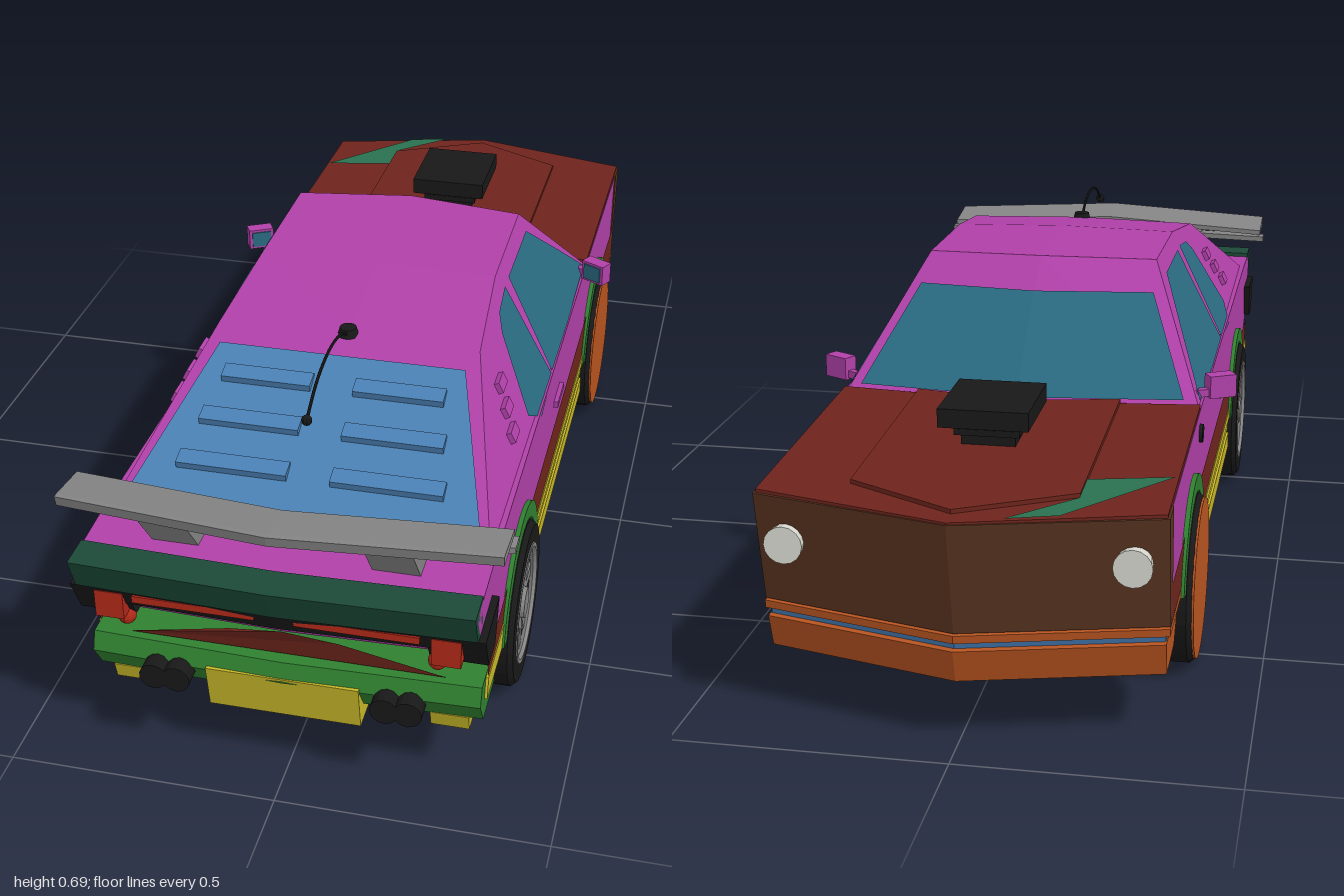
import * as THREE from 'three';
import { ConvexGeometry } from 'three/addons/geometries/ConvexGeometry.js';

const mat = (color) => new THREE.MeshStandardMaterial({ color, flatShading: true, side: THREE.DoubleSide });
const M = {
  paint: mat(0xb040a8), red: mat(0x6e241c), glass: mat(0x2a6a80), rearGlass: mat(0x4a80b4),
  green: mat(0x2f8030), darkGreen: mat(0x1c4a38), floor: mat(0x1c4a1c), yellow: mat(0xc8b828),
  orange: mat(0xb85420), brown: mat(0x5a3420), black: mat(0x181818), grey: mat(0x848484),
  blue: mat(0x3a6a9c), lamp: mat(0xd8d8d0), tail: mat(0xb02818), patch: mat(0x2a7050),
};
const HALF = 0.355, WHEEL_Y = 0.162, REAR_Z = 0.54, FRONT_Z = -0.505;

export function createModel() {
  const car = new THREE.Group();
  car.name = 'car';
  const add = (name, geo, m, x = 0, y = 0, z = 0, parent = car) => {
    const mesh = new THREE.Mesh(geo, m);
    mesh.name = name;
    mesh.position.set(x, y, z);
    parent.add(mesh);
    return mesh;
  };
  const box = (name, m, w, h, d, x, y, z, parent) => add(name, new THREE.BoxGeometry(w, h, d), m, x, y, z, parent);

  // Extrudes a shape drawn in (-z, y) from x0 to x1, then bends it by a rule
  const acrossShape = (name, m, shape, x0, x1, rule, steps = 2) => {
    const geo = new THREE.ExtrudeGeometry(shape, { depth: x1 - x0, steps, bevelEnabled: false, curveSegments: 20 });
    geo.rotateY(Math.PI / 2).translate(x0, 0, 0);
    if (rule) {
      const p = geo.attributes.position, v = new THREE.Vector3();
      for (let i = 0; i < p.count; i++) {
        rule(v.fromBufferAttribute(p, i));
        p.setXYZ(i, v.x, v.y, v.z);
      }
      geo.computeVertexNormals();
    }
    return add(name, geo, m);
  };
  const across = (name, m, zy, x0, x1, rule, steps) =>
    acrossShape(name, m, new THREE.Shape(zy.map(([z, y]) => new THREE.Vector2(-z, y))), x0, x1, rule, steps);
  const both = (fn) => [1, -1].forEach(fn);
  const mirrored = (name, m, zy, a, b) =>
    both((s) => across(name, m, zy, Math.min(s * a, s * b), Math.max(s * a, s * b)));

  // Thin convex panel given by its corners
  const panel = (name, m, pts) => {
    const geo = new THREE.BufferGeometry();
    const tri = [];
    for (let i = 1; i < pts.length - 1; i++) tri.push(...pts[0], ...pts[i], ...pts[i + 1]);
    geo.setAttribute('position', new THREE.Float32BufferAttribute(tri, 3));
    geo.computeVertexNormals();
    return add(name, geo, m);
  };

  // The nose comes to a point in plan, the tail bows slightly
  const bow = (v) => {
    const k = 1 - Math.abs(v.x) / HALF;
    if (v.z < -0.8) v.z -= 0.09 * k;
    if (v.z > 0.84) v.z += 0.012 * k;
  };

  // Lower body with wheel arches
  const body = new THREE.Shape();
  const r = 0.17, a = Math.asin((0.22 - WHEEL_Y) / r);
  body.moveTo(-0.86, 0.22);
  body.absarc(-REAR_Z, WHEEL_Y, r, Math.PI - a, a, true);
  body.absarc(-FRONT_Z, WHEEL_Y, r, Math.PI - a, a, true);
  [[0.85, 0.22], [0.89, 0.428], [0.345, 0.445], [-0.8, 0.457], [-0.97, 0.45], [-0.945, 0.4], [-0.88, 0.3]]
    .forEach(([x, y]) => body.lineTo(x, y));
  acrossShape('lowerBody', M.paint, body, -HALF, HALF, bow);
  box('floor', M.floor, 0.53, 0.2, 1.68, 0, 0.245, -0.02);

  // Cabin
  const sideX = (y) => 0.35 - (y - 0.445) * 0.5;
  const cabin = [[0, 0.44, -0.385], [0, 0.68, -0.117], [0, 0.677, 0.19], [0, 0.646, 0.43], [0, 0.458, 0.8]];
  both((s) => [[0.44, -0.345], [0.675, -0.09], [0.672, 0.19], [0.64, 0.43], [0.455, 0.8]]
    .forEach(([y, z]) => cabin.push([s * sideX(y), y, z])));
  add('cabin', new ConvexGeometry(cabin.map((p) => new THREE.Vector3(...p))), M.paint);

  // Windscreen in two halves
  const screen = (s, t) => [s * (0.35 - 0.115 * t), 0.45 + 0.237 * t,
    -0.392 + 0.268 * t + Math.abs(s) * (0.04 - 0.013 * t)];
  both((s) => panel('windscreen', M.glass, [screen(0, 0.04), screen(s * 0.93, 0.04), screen(s * 0.9, 0.74), screen(0, 0.74)]));

  // Rear window with louvres
  const backY = (z) => 0.646 - (z - 0.43) * 0.508;
  panel('rearWindow', M.rearGlass, [[-0.235, 0.48], [0.235, 0.48], [0.325, 0.785], [-0.325, 0.785]]
    .map(([x, z]) => [x, backY(z) + 0.006, z]));
  both((s) => [0.54, 0.625, 0.71].forEach((z, i) => {
    const w = 0.17 + i * 0.018;
    box('louvre', M.rearGlass, w, 0.016, 0.035, s * (0.04 + w / 2), backY(z) + 0.008, z).rotation.x = 0.25;
  }));

  both((s) => {
    // Side windows and pillar vents
    const onSide = (pts) => pts.map(([z, y]) => [s * (sideX(y) + 0.004), y, z]);
    panel('quarterWindow', M.glass, onSide([[0.37, 0.475], [0.3, 0.61], [0.265, 0.635], [0.175, 0.645], [0.158, 0.445], [0.31, 0.44]]));
    panel('doorWindow', M.glass, onSide([[0.135, 0.645], [-0.075, 0.645], [-0.21, 0.54], [-0.32, 0.452], [0.15, 0.445]]));
    [0.5, 0.535, 0.57].forEach((y) =>
      box('pillarVent', M.paint, 0.02, 0.022, 0.045, s * sideX(y), y, 0.52 - (y - 0.445) * 0.8).rotation.z = s * 0.46);
    box('doorHandle', M.paint, 0.012, 0.014, 0.08, s * 0.358, 0.352, 0.08);

    // Door mirrors
    const mirror = new THREE.Group();
    mirror.name = 'doorMirror';
    mirror.position.set(s * 0.385, 0.47, -0.265);
    mirror.rotation.y = -s * 0.5;
    car.add(mirror);
    box('mirrorShell', M.paint, 0.055, 0.045, 0.03, 0, 0, 0, mirror);
    box('mirrorGlass', M.glass, 0.042, 0.034, 0.004, 0, 0, 0.016, mirror);
    box('mirrorArm', M.paint, 0.05, 0.015, 0.015, -s * 0.04, -0.012, 0, mirror);

    // Lower red band, following the arches
    [[[0.37, 0.22], [0.42, 0.3], [-0.385, 0.3], [-0.335, 0.22]],
      [[0.86, 0.22], [0.878, 0.295], [0.66, 0.3], [0.71, 0.22]],
      [[-0.675, 0.22], [-0.625, 0.3], [-0.865, 0.29], [-0.85, 0.22]]].forEach((q) =>
      panel('sideBand', M.red, q.map(([z, y]) => [s * 0.358, y, z])));

    // Arch flares
    [REAR_Z, FRONT_Z].forEach((z) => {
      const ring = new THREE.Shape();
      ring.absarc(-z, WHEEL_Y, 0.196, 0.2, Math.PI - 0.2, false);
      ring.absarc(-z, WHEEL_Y, 0.164, Math.PI - 0.2, 0.2, true);
      acrossShape('archFlare', M.green, ring, s > 0 ? 0.28 : -0.364, s > 0 ? 0.364 : -0.28);
    });

    // Sills
    box('sillLower', M.yellow, 0.07, 0.036, 0.66, s * 0.325, 0.148, 0.02);
    box('sillInset', M.paint, 0.07, 0.06, 0.68, s * 0.315, 0.19, 0.018);
    box('sillMiddle', M.yellow, 0.07, 0.014, 0.68, s * 0.322, 0.179, 0.018);
    box('sillUpper', M.yellow, 0.07, 0.022, 0.69, s * 0.325, 0.209, 0.018);

    // Wheels
    [REAR_Z, FRONT_Z].forEach((z) => {
      const wheel = new THREE.Group();
      wheel.name = z > 0 ? 'rearWheel' : 'frontWheel';
      wheel.position.set(s * 0.325, WHEEL_Y, z);
      wheel.rotation.z = -s * Math.PI / 2;
      car.add(wheel);
      const prof = [[0.118, -0.05], [0.152, -0.05], [0.161, -0.04], [0.161, 0.04], [0.152, 0.05], [0.118, 0.05], [0.118, -0.05]];
      add('tyre', new THREE.LatheGeometry(prof.map((p) => new THREE.Vector2(...p)), 36), M.black, 0, 0, 0, wheel);
      const metal = z > 0 ? M.grey : M.orange;
      add('wheelBack', new THREE.CylinderGeometry(0.118, 0.118, 0.05, 32), M.black, 0, 0, 0, wheel);
      if (z < 0) add('wheelCover', new THREE.CylinderGeometry(0.153, 0.153, 0.008, 32), metal, 0, 0.049, 0, wheel);
      else {
        add('rim', new THREE.TorusGeometry(0.113, 0.008, 6, 36).rotateX(Math.PI / 2), metal, 0, 0.045, 0, wheel);
        add('hub', new THREE.CylinderGeometry(0.03, 0.035, 0.03, 16), metal, 0, 0.035, 0, wheel);
      }
      for (let i = 0; i < 12; i++) {
        const t = i * Math.PI / 6;
        box('spoke', metal, 0.085, 0.07, 0.024, Math.cos(t) * 0.07, z > 0 ? 0.005 : -0.01, Math.sin(t) * 0.07, wheel).rotation.y = -t;
      }
    });
    add('headlight', new THREE.CylinderGeometry(0.034, 0.028, 0.05, 16).rotateX(-Math.PI / 2), M.lamp, s * 0.3, 0.35, -0.905);
  });
  [REAR_Z, FRONT_Z].forEach((z) =>
    add('axle', new THREE.CylinderGeometry(0.025, 0.025, 0.6, 10).rotateZ(Math.PI / 2), M.black, 0, 0.15, z));
  add('fillerCap', new THREE.CylinderGeometry(0.018, 0.018, 0.012, 14).rotateZ(Math.PI / 2), M.black, -0.356, 0.4, -0.36);

  // Nose, bonnet and intake
  across('nosePanel', M.brown, [[-0.862, 0.22], [-0.905, 0.432], [-0.85, 0.435], [-0.835, 0.22]], -0.358, 0.358, bow);
  const bonnet = (name, w, back, front, tip, y, h) => {
    const pts = [[0, back - 0.035], [w, back], [w, front], [0, tip], [-w, front], [-w, back]];
    const geo = new THREE.ExtrudeGeometry(new THREE.Shape(pts.map((p) => new THREE.Vector2(p[0], -p[1]))), { depth: h, bevelEnabled: false });
    geo.rotateX(-Math.PI / 2).rotateX(-0.025);
    add(name, geo, M.red, 0, y, 0);
  };
  bonnet('bonnet', 0.354, -0.345, -0.9, -0.993, 0.448, 0.013);
  bonnet('bonnetBulge', 0.2, -0.36, -0.85, -0.955, 0.46, 0.009);
  panel('bonnetPatch', M.patch, [[-0.35, -0.74], [-0.2, -0.775], [-0.2, -0.86], [-0.09, -0.97], [-0.18, -0.943]]
    .map(([x, z]) => [x, 0.465 + 0.025 * z, z]));
  box('intakeNeck', M.black, 0.1, 0.07, 0.1, 0, 0.475, -0.6);
  box('intakeFlange', M.black, 0.12, 0.012, 0.13, 0, 0.48, -0.6);
  box('intakeScoop', M.black, 0.165, 0.035, 0.185, 0, 0.515, -0.605);

  // Front bumper
  across('frontBumperTop', M.orange, [[-0.69, 0.218], [-0.868, 0.218], [-0.866, 0.203], [-0.69, 0.203]], -0.358, 0.358, bow);
  across('frontBumperStripe', M.blue, [[-0.69, 0.203], [-0.856, 0.203], [-0.856, 0.19], [-0.69, 0.19]], -0.35, 0.35, bow);
  across('frontBumperSkirt', M.orange, [[-0.69, 0.19], [-0.87, 0.19], [-0.85, 0.126], [-0.74, 0.132]], -0.352, 0.352, bow);

  // Tail: lip, light strip and lamps
  across('tailLip', M.darkGreen, [[0.92, 0.461], [0.988, 0.461], [0.962, 0.395], [0.92, 0.39]], -0.355, 0.355, bow);
  across('lightStrip', M.black, [[0.9, 0.392], [0.955, 0.392], [0.938, 0.352], [0.9, 0.352]], -0.36, 0.36, bow);
  mirrored('lampHousing', M.black, [[0.83, 0.395], [0.958, 0.392], [0.92, 0.315], [0.86, 0.315]], 0.265, 0.368);
  both((s) => {
    box('lightBar', M.tail, 0.22, 0.014, 0.02, s * 0.145, 0.378, 0.95);
    box('tailLamp', M.tail, 0.052, 0.055, 0.03, s * 0.3, 0.355, 0.94);
    add('tailReflector', new THREE.SphereGeometry(0.017, 12, 8), M.tail, s * 0.28, 0.315, 0.925);
    [0.19, 0.232].forEach((x) =>
      add('exhaust', new THREE.CylinderGeometry(0.026, 0.026, 0.12, 14).rotateX(Math.PI / 2), M.black, s * x, 0.202, 0.89));
  });
  panel('tailWedge', M.red, [[-0.29, 0.253, 0.895], [0.29, 0.253, 0.895], [0.1, 0.3, 0.905], [0, 0.318, 0.915], [-0.1, 0.3, 0.905]]);

  // Rear bumper
  across('rearBumper', M.green, [[0.75, 0.25], [0.905, 0.25], [0.918, 0.215], [0.885, 0.163], [0.78, 0.163]], -0.355, 0.355, bow);
  mirrored('bumperSide', M.yellow, [[0.71, 0.245], [0.87, 0.245], [0.88, 0.205], [0.72, 0.2]], 0.33, 0.36);
  mirrored('bumperFoot', M.yellow, [[0.73, 0.165], [0.89, 0.165], [0.88, 0.13], [0.74, 0.13]], 0.26, 0.33);
  across('rearValance', M.yellow, [[0.72, 0.22], [0.93, 0.222], [0.915, 0.13], [0.74, 0.13]], -0.14, 0.14);

  // Wing on two supports
  const arch = (v) => {
    const k = 1 - Math.abs(v.x) / 0.39;
    v.z += 0.05 * k;
    v.y += 0.012 * k;
  };
  across('wing', M.grey, [[0.832, 0.53], [0.93, 0.535], [0.935, 0.556], [0.925, 0.556], [0.832, 0.541]], -0.39, 0.39, arch, 6);
  across('wingFlap', M.grey, [[0.83, 0.514], [0.865, 0.514], [0.865, 0.526], [0.83, 0.526]], -0.398, 0.398, (v) => { v.z += 0.05 * (1 - Math.abs(v.x) / 0.39); });
  mirrored('wingSupport', M.grey, [[0.83, 0.452], [0.88, 0.452], [0.945, 0.54], [0.875, 0.54]], 0.155, 0.24);

  // Aerial
  const wire = new THREE.CatmullRomCurve3([[0.43, 0.645], [0.48, 0.672], [0.56, 0.685], [0.65, 0.67], [0.72, 0.633]]
    .map(([z, y]) => new THREE.Vector3(0, y, z)));
  add('aerial', new THREE.TubeGeometry(wire, 20, 0.003, 6), M.black);
  add('aerialBase', new THREE.CylinderGeometry(0.016, 0.02, 0.016, 14), M.black, 0, 0.65, 0.425);
  add('aerialTip', new THREE.SphereGeometry(0.01, 10, 8), M.black, 0, 0.633, 0.72);
  return car;
}
